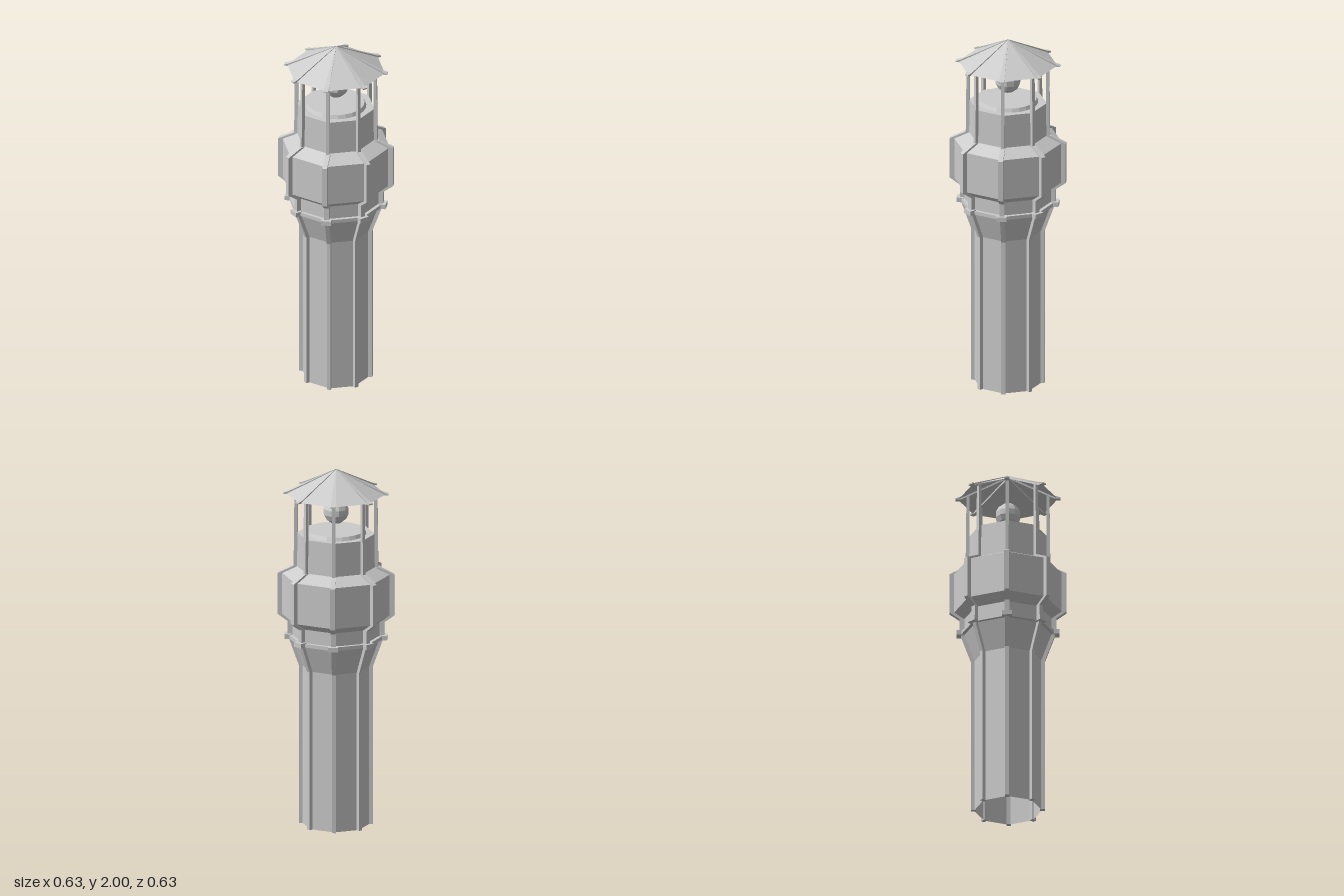
import * as THREE from 'three';

const SIDES = 8;
const material = new THREE.MeshStandardMaterial({ color: 0xcccccc, flatShading: true, side: THREE.DoubleSide });

function add(parent, geometry, name) {
  const mesh = new THREE.Mesh(geometry, material);
  mesh.name = name;
  parent.add(mesh);
  return mesh;
}

// Eight-sided shell from [radius, height] points, with a corner facing +z
function shell(points, segments = SIDES) {
  return new THREE.LatheGeometry(points.map(([r, y]) => new THREE.Vector2(r, y)), segments);
}

// Flat [radius, height] outline given a thickness, lying in the x-y plane
function slab(points, width) {
  const shape = new THREE.Shape(points.map(([r, y]) => new THREE.Vector2(r, y)));
  const geometry = new THREE.ExtrudeGeometry(shape, { depth: width, bevelEnabled: false });
  return geometry.translate(0, 0, -width / 2);
}

// Rib that follows a profile: outer edge up, inner edge back down
function ribFrom(profile, out, inset, width) {
  const outer = profile.map(([r, y]) => [r + out, y]);
  const inner = profile.map(([r, y]) => [r - inset, y]).reverse();
  return slab([...outer, ...inner], width);
}

export function createModel() {
  const model = new THREE.Group();
  model.name = 'tower';

  const shaft = [[0.185, 0], [0.185, 0.89], [0.242, 1.05]];
  const cabin = [[0.242, 1.05], [0.242, 1.14], [0.297, 1.18], [0.297, 1.41], [0.215, 1.45]];
  const drum = [[0.215, 1.45], [0.212, 1.637]];

  // Walls
  add(model, shell(shaft), 'shaft');
  add(model, shell(cabin), 'cabin');
  add(model, shell([...drum, [0, 1.637]]), 'lanternBase');
  add(model, shell([[0.242, 1.045], [0.262, 1.045], [0.262, 1.065], [0.242, 1.065]]), 'collar');

  // Lamp on its round platform
  add(model, shell([[0.165, 1.637], [0.155, 1.657], [0, 1.657]], 24), 'lampPlatform');
  add(model, new THREE.SphereGeometry(0.07, 10, 7), 'lamp').position.y = 1.762;

  // Thin roof shell
  add(model, shell([[0.27, 1.86], [0, 1.997]]), 'roof');

  // Corner details shared by all eight corners
  const shaftRib = ribFrom(shaft, 0.016, 0.012, 0.022);
  const cabinRib = ribFrom(cabin, 0.02, 0.012, 0.027);
  const post = slab([[0.208, 1.44], [0.23, 1.44], [0.225, 1.885], [0.208, 1.885]], 0.018);
  const block = new THREE.BoxGeometry(0.04, 0.026, 0.055).translate(0.259, 1.056, 0);

  // Roof rib narrows to a point at the peak
  const roofRib = slab([[0, 1.985], [0.25, 1.857], [0.285, 1.857], [0.285, 1.864], [0.26, 1.871], [0, 2]], 0.027);
  const pos = roofRib.attributes.position;
  for (let i = 0; i < pos.count; i++) {
    pos.setZ(i, pos.getZ(i) * Math.min(1, 0.05 + pos.getX(i) / 0.27));
  }

  for (let i = 0; i < SIDES; i++) {
    const corner = new THREE.Group();
    corner.name = `corner${i + 1}`;
    corner.rotation.y = (i / SIDES) * Math.PI * 2;
    add(corner, shaftRib, 'shaftRib');
    add(corner, cabinRib, 'cabinRib');
    add(corner, post, 'roofPost');
    add(corner, block, 'collarBlock');
    add(corner, roofRib, 'roofRib');
    model.add(corner);
  }
  return model;
}
